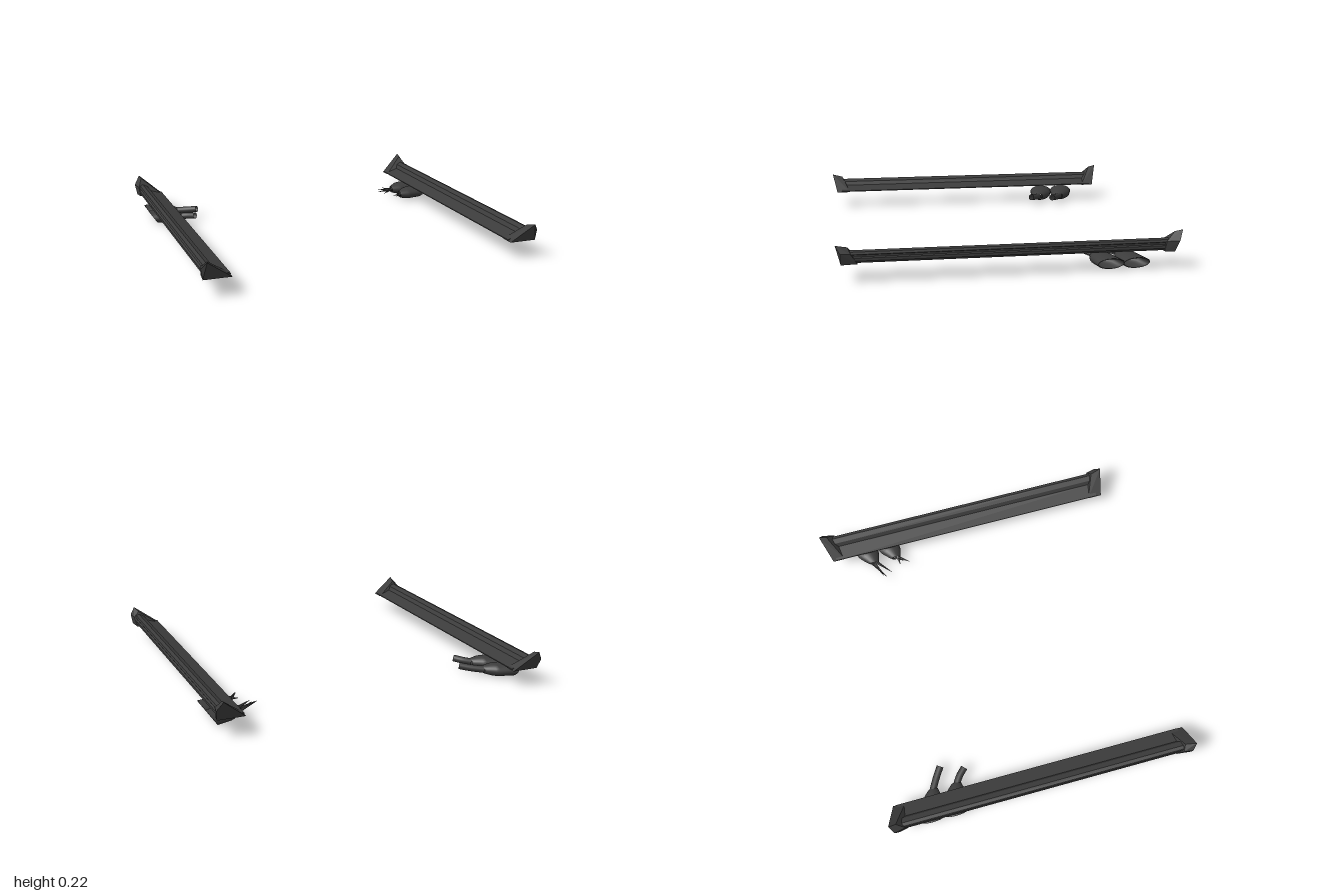
import * as THREE from 'three';
import { ConvexGeometry } from 'three/addons/geometries/ConvexGeometry.js';

const smooth = new THREE.MeshStandardMaterial({ color: 0x3c3c3c, side: THREE.DoubleSide });
const flat = new THREE.MeshStandardMaterial({ color: 0x3c3c3c, side: THREE.DoubleSide, flatShading: true });

function add(parent, name, geometry, material) {
  const mesh = new THREE.Mesh(geometry, material);
  mesh.name = name;
  parent.add(mesh);
}

// Skin oval rings; each ring is [x, y, z, halfHeight, halfWidth, slant]
function loft(rings, sides = 24) {
  const pos = [], index = [];
  rings.forEach(([x, y, z, h, w, slant = 0], r) => {
    for (let i = 0; i < sides; i++) {
      const a = (i / sides) * Math.PI * 2;
      pos.push(x + slant * Math.sin(a), y + h * Math.sin(a), z + w * Math.cos(a));
      if (r === 0) continue;
      const j = (i + 1) % sides, p = (r - 1) * sides, q = r * sides;
      index.push(p + i, q + i, p + j, p + j, q + i, q + j);
    }
  });
  const g = new THREE.BufferGeometry();
  g.setAttribute('position', new THREE.Float32BufferAttribute(pos, 3));
  g.setIndex(index);
  g.computeVertexNormals();
  return g;
}

// Long sill: thin inner plate, raised outer rail with a grooved outer face
function sillGeometry() {
  const profile = [
    [0.83, 0.106], [0.965, 0.106], [0.98, 0.12], [0.98, 0.135], [0.97, 0.14],
    [0.97, 0.15], [0.98, 0.155], [0.975, 0.168], [0.955, 0.174], [0.925, 0.16],
    [0.912, 0.136], [0.83, 0.112],
  ];
  const shape = new THREE.Shape(profile.map(([x, y]) => new THREE.Vector2(x, y)));
  return new THREE.ExtrudeGeometry(shape, { depth: 1.77, bevelEnabled: false }).translate(0, 0, -0.885);
}

// Leaning fin that closes each end of the sill
function finGeometry(points) {
  return new ConvexGeometry(points.map((p) => new THREE.Vector3(...p)));
}

const frontFin = [
  [0.83, 0.103, 0.83], [0.98, 0.103, 0.83], [0.99, 0.16, 0.865], [0.955, 0.19, 0.88],
  [0.83, 0.103, 0.917], [0.99, 0.103, 0.917], [1, 0.165, 0.92], [0.97, 0.205, 0.945],
];
const rearFin = [
  [0.83, 0.103, -0.83], [0.98, 0.103, -0.85], [0.985, 0.16, -0.86], [0.96, 0.21, -0.91],
  [0.83, 0.103, -0.905], [0.99, 0.103, -0.905], [1, 0.165, -0.93], [0.965, 0.22, -0.955],
];

// Hollow oval exhaust tip with a slanted mouth, necking down inward
function tipGeometry(z) {
  const y = 0.038;
  return loft([
    [0.78, y, z + 0.05, 0.02, 0.028],
    [0.79, y, z + 0.045, 0.025, 0.036],
    [0.83, y, z + 0.03, 0.036, 0.06],
    [0.85, y, z + 0.024, 0.038, 0.068],
    [0.955, y, z, 0.038, 0.076, 0.024],
    [0.958, y, z, 0.032, 0.07, 0.022],
    [0.87, y, z + 0.02, 0.028, 0.058],
    [0.84, y, z + 0.03, 0.004, 0.01],
  ]);
}

// Whole feed pipes on the right
function pipeGeometry(path) {
  const curve = new THREE.CatmullRomCurve3(path.map((p) => new THREE.Vector3(...p)));
  return new THREE.TubeGeometry(curve, 10, 0.021, 12, false);
}

// Thin splinter running from a tip's neck to a point
function splinterGeometry(from, to) {
  const a = new THREE.Vector3(...from), b = new THREE.Vector3(...to);
  const dir = b.clone().sub(a);
  const g = new THREE.ConeGeometry(0.012, dir.length(), 5);
  g.applyQuaternion(new THREE.Quaternion().setFromUnitVectors(new THREE.Vector3(0, 1, 0), dir.normalize()));
  const mid = a.add(b).multiplyScalar(0.5);
  return g.translate(mid.x, mid.y, mid.z);
}

export function createModel() {
  const model = new THREE.Group();
  model.name = 'sideSkirtsWithExhausts';
  const tips = [-0.7, -0.555];

  for (const side of [1, -1]) {
    const half = new THREE.Group();
    half.name = side > 0 ? 'leftSide' : 'rightSide';
    half.scale.x = side;
    add(half, 'sill', sillGeometry(), flat);
    add(half, 'frontFin', finGeometry(frontFin), flat);
    add(half, 'rearFin', finGeometry(rearFin), flat);
    tips.forEach((z) => add(half, 'exhaustTip', tipGeometry(z), smooth));

    if (side < 0) {
      add(half, 'straightPipe', pipeGeometry([[0.79, 0.038, -0.655], [0.72, 0.045, -0.615], [0.66, 0.055, -0.575]]), smooth);
      add(half, 'bentPipe', pipeGeometry([[0.79, 0.038, -0.505], [0.745, 0.045, -0.475], [0.705, 0.052, -0.435]]), smooth);
    } else {
      // Torn pipe ends on the left
      const ends = [
        [0.65, 0.045, -0.59], [0.66, 0.055, -0.61], [0.68, 0.04, -0.55], [0.7, 0.062, -0.63],
        [0.72, 0.05, -0.42], [0.725, 0.035, -0.49], [0.735, 0.06, -0.46],
      ];
      ends.forEach((end, i) => {
        const z = i < 4 ? -0.655 : -0.505;
        add(half, 'tornPipeSplinter', splinterGeometry([0.79, 0.032 + 0.006 * (i % 3), z + 0.01 * ((i % 3) - 1)], end), flat);
      });
    }
    model.add(half);
  }
  return model;
}
